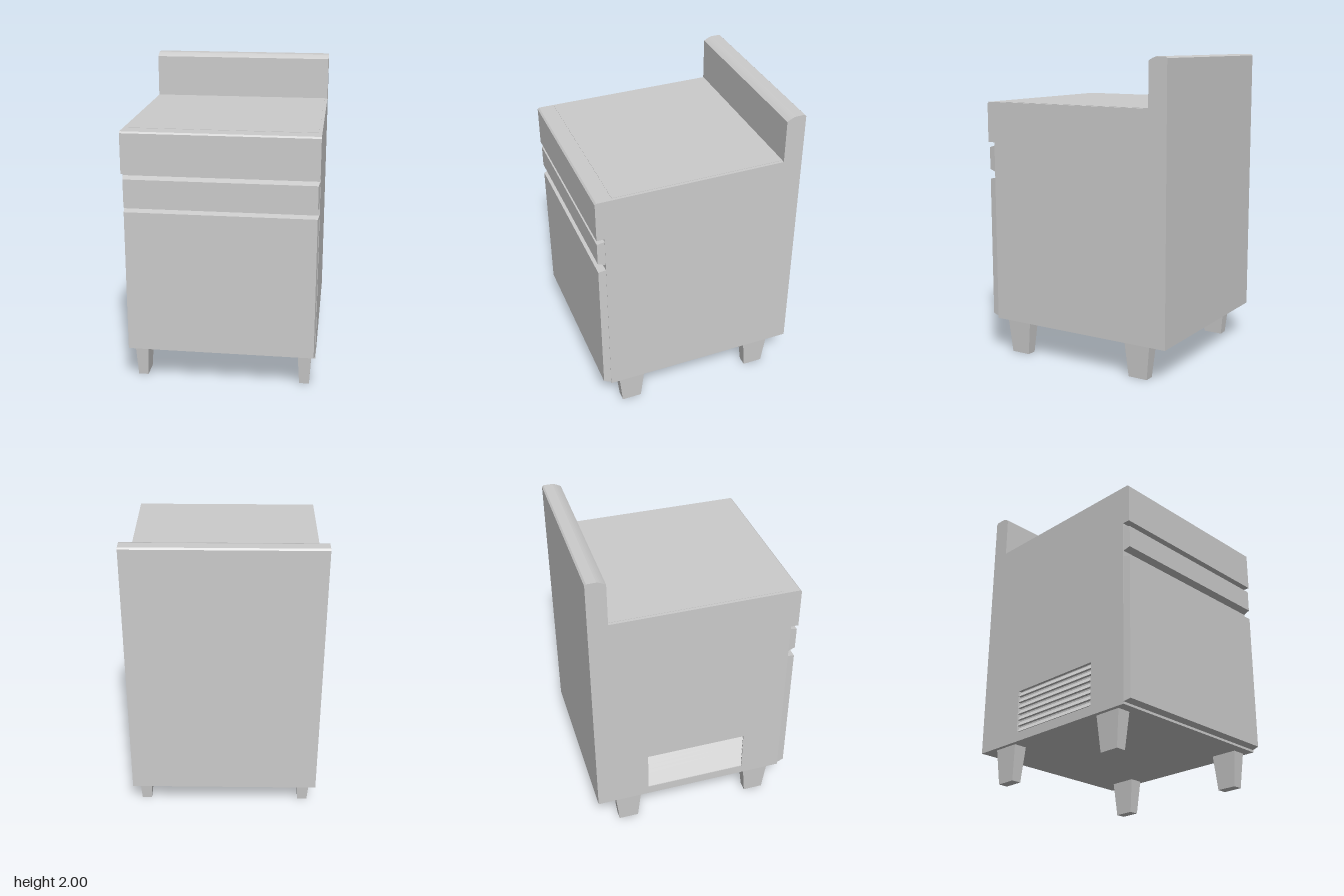
import * as THREE from 'three';

const material = new THREE.MeshStandardMaterial({ color: 0xcccccc, flatShading: true });

function add(parent, name, geometry, x = 0, y = 0, z = 0) {
  const mesh = new THREE.Mesh(geometry, material);
  mesh.name = name;
  mesh.position.set(x, y, z);
  parent.add(mesh);
  return mesh;
}

// Box whose end on the given axis is scaled inwards on the other two axes
function taperedBox(size, axis, sign, scale) {
  const g = new THREE.BoxGeometry(...size);
  const p = g.attributes.position;
  for (let i = 0; i < p.count; i++) {
    if (p.getComponent(i, axis) * sign < 0) continue;
    for (let k = 0; k < 3; k++) {
      if (k !== axis) p.setComponent(i, k, p.getComponent(i, k) * scale[k]);
    }
  }
  g.computeVertexNormals();
  return g;
}

// Side outline, drawn as (z, y)
function cabinetProfile() {
  const s = new THREE.Shape();
  s.moveTo(-0.67, 0.23);
  s.lineTo(0.62, 0.23);
  s.lineTo(0.62, 1.43);
  s.lineTo(0.67, 1.43);
  s.lineTo(0.67, 1.685);
  s.lineTo(0.66, 1.695);
  s.lineTo(-0.545, 1.695);
  s.lineTo(-0.545, 1.975);
  s.quadraticCurveTo(-0.575, 1.995, -0.6, 2);
  s.lineTo(-0.66, 2);
  s.lineTo(-0.67, 1.99);
  s.closePath();
  return s;
}

// Extrude a (z, y) outline across x, from x0 to x1
function extrudeAcross(shape, x0, x1) {
  const g = new THREE.ExtrudeGeometry(shape, { depth: x1 - x0, bevelEnabled: false, curveSegments: 5 });
  g.rotateY(-Math.PI / 2);
  g.translate(x1, 0, 0);
  return g;
}

export function createModel() {
  const group = new THREE.Group();
  group.name = 'counterCabinet';

  // Body with worktop overhang and backsplash
  add(group, 'body', extrudeAcross(cabinetProfile(), -0.59, 0.61));

  // Right side panel with the vent opening
  const vent = { z0: -0.32, z1: 0.35, y0: 0.29, y1: 0.57 };
  const side = cabinetProfile();
  const hole = new THREE.Path();
  hole.moveTo(vent.z0, vent.y0);
  hole.lineTo(vent.z0, vent.y1);
  hole.lineTo(vent.z1, vent.y1);
  hole.lineTo(vent.z1, vent.y0);
  hole.closePath();
  side.holes.push(hole);
  add(group, 'ventedSidePanel', extrudeAcross(side, -0.61, -0.59));

  // Louvres, sloping down towards the outside
  const louvres = new THREE.Group();
  louvres.name = 'ventLouvres';
  group.add(louvres);
  const count = 7;
  const pitch = (vent.y1 - vent.y0) / count;
  for (let i = 0; i < count; i++) {
    const y = vent.y0 + i * pitch;
    const slat = new THREE.Shape();
    slat.moveTo(-0.59, y + 0.004);
    slat.lineTo(-0.609, y + 0.004);
    slat.lineTo(-0.59, y + pitch * 0.85);
    slat.closePath();
    const g = new THREE.ExtrudeGeometry(slat, { depth: vent.z1 - vent.z0, bevelEnabled: false });
    add(louvres, 'louvre', g, 0, 0, vent.z0);
  }

  // Worktop inlay
  add(group, 'worktopPanel', new THREE.BoxGeometry(1.18, 0.004, 1.105), 0, 1.695, 0.0075);

  // Drawer front and door, narrowing towards the front
  add(group, 'drawerFront', taperedBox([1.216, 0.175, 0.048], 2, 1, [0.987, 0.83, 1]), 0, 1.322, 0.643);
  add(group, 'door', taperedBox([1.216, 0.95, 0.048], 2, 1, [0.987, 0.976, 1]), 0, 0.72, 0.643);

  // Tapered legs
  for (const x of [-0.538, 0.538]) {
    for (const z of [-0.455, 0.465]) {
      add(group, 'leg', taperedBox([0.09, 0.23, 0.18], 1, -1, [0.72, 1, 0.73]), x, 0.115, z);
    }
  }
  return group;
}
